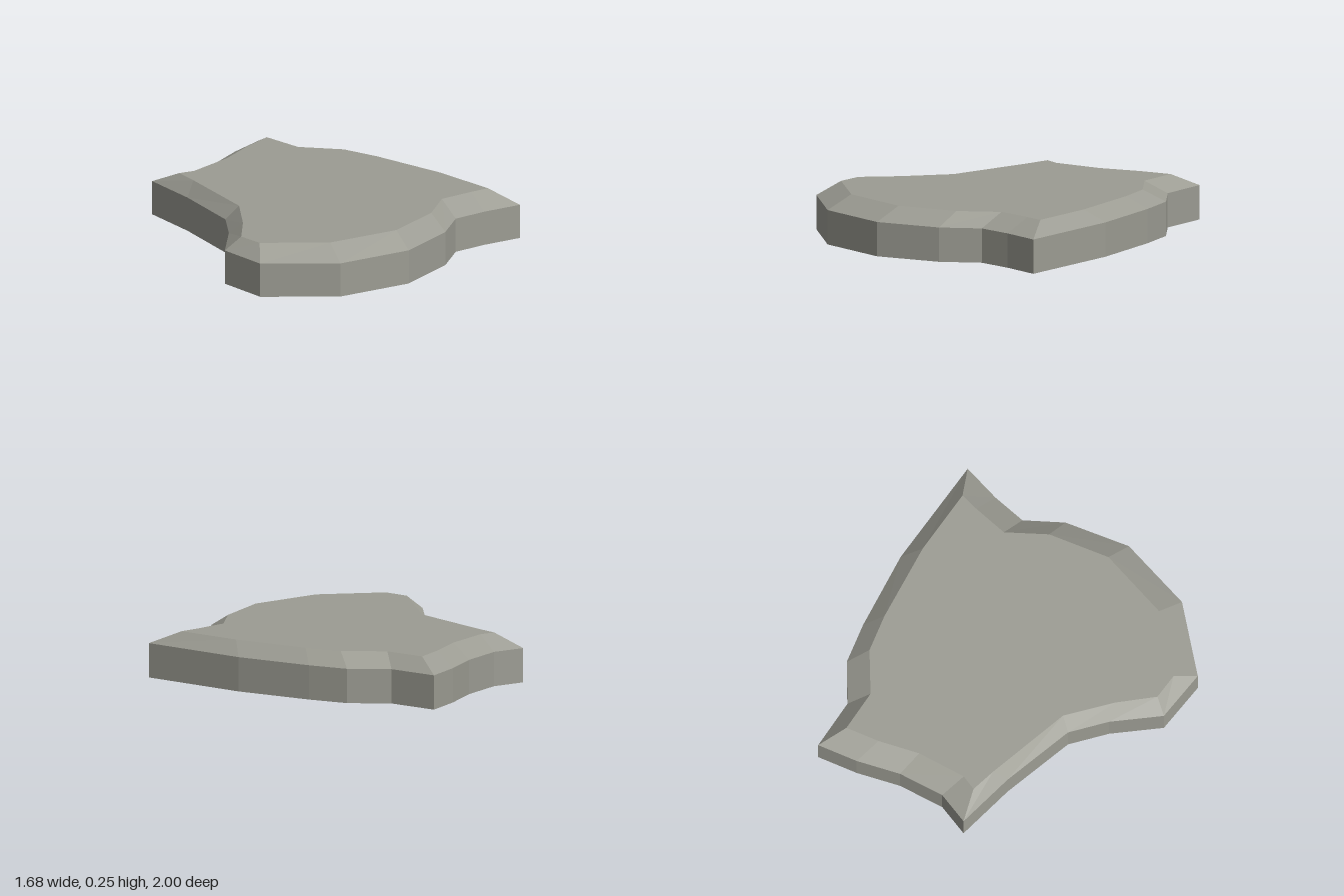
import * as THREE from 'three';

// Outline of the slab, clockwise from above: outer x, outer z, inner (bevelled) x, inner z
const outline = [
  [-0.02, -1.0, -0.04, -0.84], [0.09, -0.75, 0.05, -0.635], [0.285, -0.63, 0.255, -0.51],
  [0.41, -0.45, 0.37, -0.345], [0.62, -0.085, 0.575, 0.02], [0.84, 0.465, 0.71, 0.35],
  [0.63, 0.5, 0.61, 0.37], [0.45, 0.55, 0.425, 0.42], [0.32, 0.73, 0.29, 0.61],
  [0.035, 0.935, 0.02, 0.8], [-0.37, 1.0, -0.37, 0.86], [-0.755, 0.85, -0.71, 0.73],
  [-0.845, 0.585, -0.76, 0.6], [-0.72, 0.33, -0.67, 0.4], [-0.655, 0.12, -0.585, 0.135],
  [-0.705, -0.28, -0.65, -0.335], [-0.775, -0.595, -0.675, -0.47], [-0.595, -0.61, -0.59, -0.475],
  [-0.38, -0.73, -0.36, -0.6], [-0.2, -0.88, -0.19, -0.74],
];
const RIM = 0.18, TOP = 0.25;

const ring = (offset, y) => outline.map(p => new THREE.Vector3(p[offset], y, p[offset + 1]));

function flatGeometry(points) {
  const geometry = new THREE.BufferGeometry().setFromPoints(points);
  geometry.computeVertexNormals(); // unshared corners give flat facets
  return geometry;
}

// Band of quads joining a lower ring to an upper ring, facing outward
function band(lower, upper) {
  const points = [];
  lower.forEach((a, i) => {
    const j = (i + 1) % lower.length;
    points.push(lower[j], a, upper[i], lower[j], upper[i], upper[j]);
  });
  return flatGeometry(points);
}

// Flat cap over a ring, facing up or down
function cap(loop, up) {
  const contour = loop.map(p => new THREE.Vector2(p.x, p.z));
  const points = [];
  for (const [i, j, k] of THREE.ShapeUtils.triangulateShape(contour, [])) {
    const a = loop[i], b = loop[j], c = loop[k];
    const facesUp = (b.z - a.z) * (c.x - a.x) - (b.x - a.x) * (c.z - a.z) > 0;
    points.push(a, ...(facesUp === up ? [b, c] : [c, b]));
  }
  return flatGeometry(points);
}

export function createModel() {
  const stone = new THREE.MeshStandardMaterial({ color: 0x9c9c93 });
  stone.name = 'stone grey';
  const model = new THREE.Group();
  model.name = 'stoneSlab';
  const add = (name, geometry) => {
    const mesh = new THREE.Mesh(geometry, stone);
    mesh.name = name;
    model.add(mesh);
  };

  const base = ring(0, 0), rim = ring(0, RIM), top = ring(2, TOP);
  add('sideWall', band(base, rim));
  add('bevel', band(rim, top));
  add('topFace', cap(top, true));
  add('underside', cap(base, false));
  return model;
}
